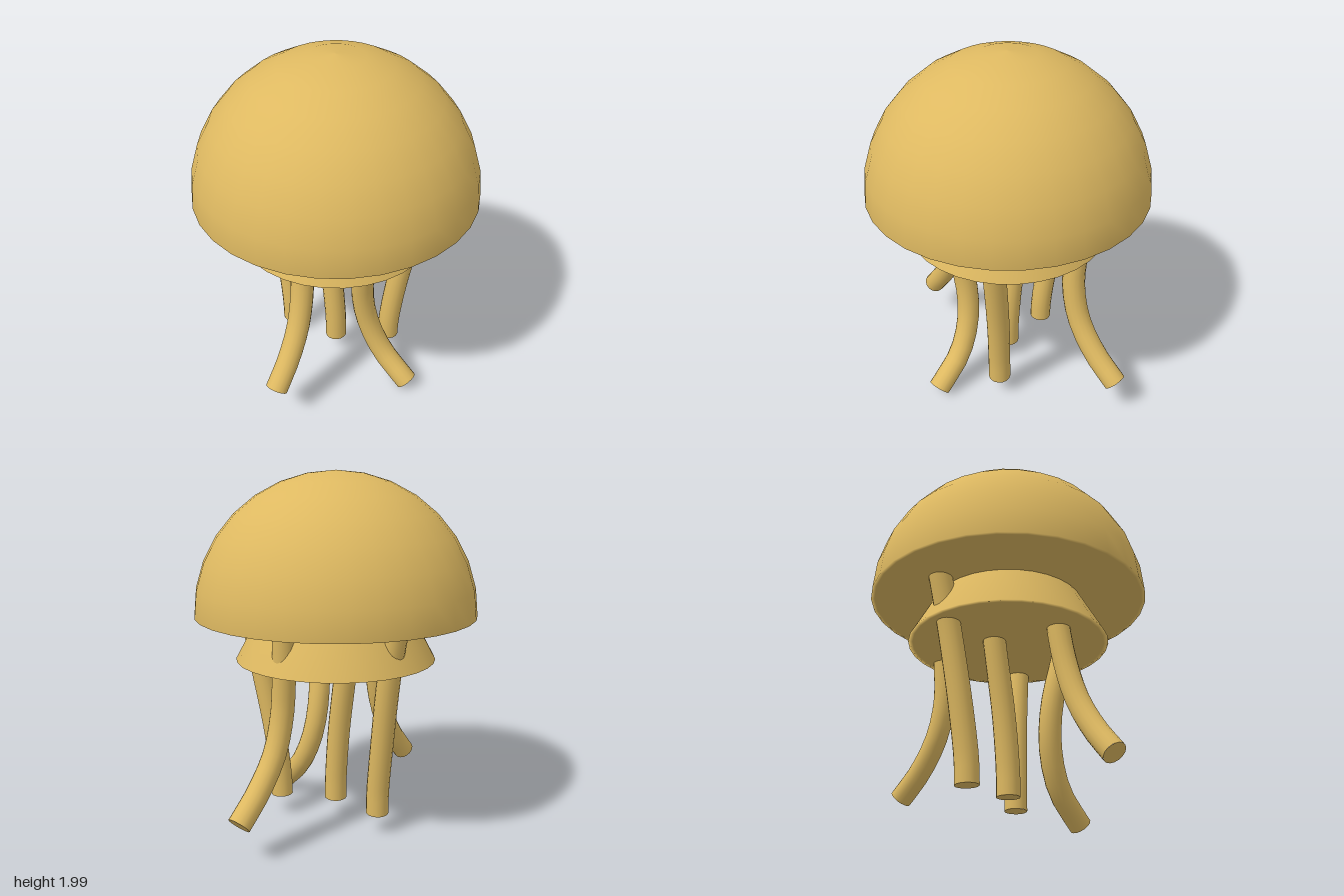
import * as THREE from 'three';

const CX = -0.015; // bell axis
const RADIUS = 0.063; // tentacle radius

export function createModel() {
  const model = new THREE.Group();
  const gold = new THREE.MeshStandardMaterial({ color: 0xdeb961 });
  gold.name = 'gold';

  const lathe = (name, pts) => {
    const points = pts.map(([r, y]) => new THREE.Vector2(r, y));
    const mesh = new THREE.Mesh(new THREE.LatheGeometry(points, 32), gold);
    mesh.name = name;
    mesh.position.x = CX;
    model.add(mesh);
  };

  // Hemispherical bell with a flat underside
  const bell = [[0, 1.23], [0.755, 1.23]];
  for (let i = 0; i <= 8; i++) {
    const a = (i / 8) * Math.PI / 2;
    bell.push([i === 8 ? 0 : 0.775 * Math.cos(a), 1.23 + 0.77 * Math.sin(a)]);
  }
  lathe('bell', bell);

  // Flared skirt below the bell, closed underneath
  lathe('skirt', [[0, 0.98], [0.53, 0.98], [0.555, 0.98], [0.42, 1.23], [0.41, 1.25]]);

  // Tentacles: centre lines from the bell down to the tip
  const paths = {
    leftTentacle: [[0.43, 1.26, -0.14], [0.42, 0.98, -0.12], [0.425, 0.76, -0.105],
      [0.48, 0.55, -0.11], [0.6, 0.37, -0.13], [0.74, 0.235, -0.16]],
    rightTentacle: [[-0.35, 1.26, 0.04], [-0.36, 0.98, 0.055], [-0.39, 0.75, 0.075],
      [-0.45, 0.55, 0.09], [-0.545, 0.38, 0.1], [-0.655, 0.24, 0.105]],
    frontTentacle: [[-0.17, 1.26, 0.375], [-0.135, 0.98, 0.31], [-0.085, 0.65, 0.255],
      [-0.05, 0.42, 0.275], [-0.02, 0.22, 0.365], [0, 0.06, 0.535]],
    frontLeftTentacle: [[0.305, 1.26, 0.38], [0.28, 0.98, 0.335], [0.23, 0.55, 0.27],
      [0.203, 0.25, 0.243], [0.2, 0.13, 0.24]],
    middleTentacle: [[-0.015, 1.26, -0.14], [-0.015, 0.98, -0.1], [-0.015, 0.55, -0.03],
      [-0.015, 0.25, -0.002], [-0.015, 0.13, 0]],
    backTentacle: [[-0.03, 1.26, -0.495], [-0.035, 0.98, -0.43], [-0.055, 0.55, -0.355],
      [-0.065, 0.25, -0.314], [-0.067, 0.13, -0.31]],
  };
  for (const [name, pts] of Object.entries(paths)) {
    const curve = new THREE.CatmullRomCurve3(pts.map((p) => new THREE.Vector3(...p)));
    const tentacle = new THREE.Group();
    tentacle.name = name;
    const tube = new THREE.Mesh(new THREE.TubeGeometry(curve, 14, RADIUS, 16), gold);
    tube.name = name + 'Tube';
    // Flat disc closing the tip
    const tip = new THREE.Mesh(new THREE.CircleGeometry(RADIUS, 16), gold);
    tip.name = name + 'Tip';
    tip.position.copy(curve.getPointAt(1));
    tip.quaternion.setFromUnitVectors(new THREE.Vector3(0, 0, 1), curve.getTangentAt(1));
    tentacle.add(tube, tip);
    model.add(tentacle);
  }
  return model;
}
